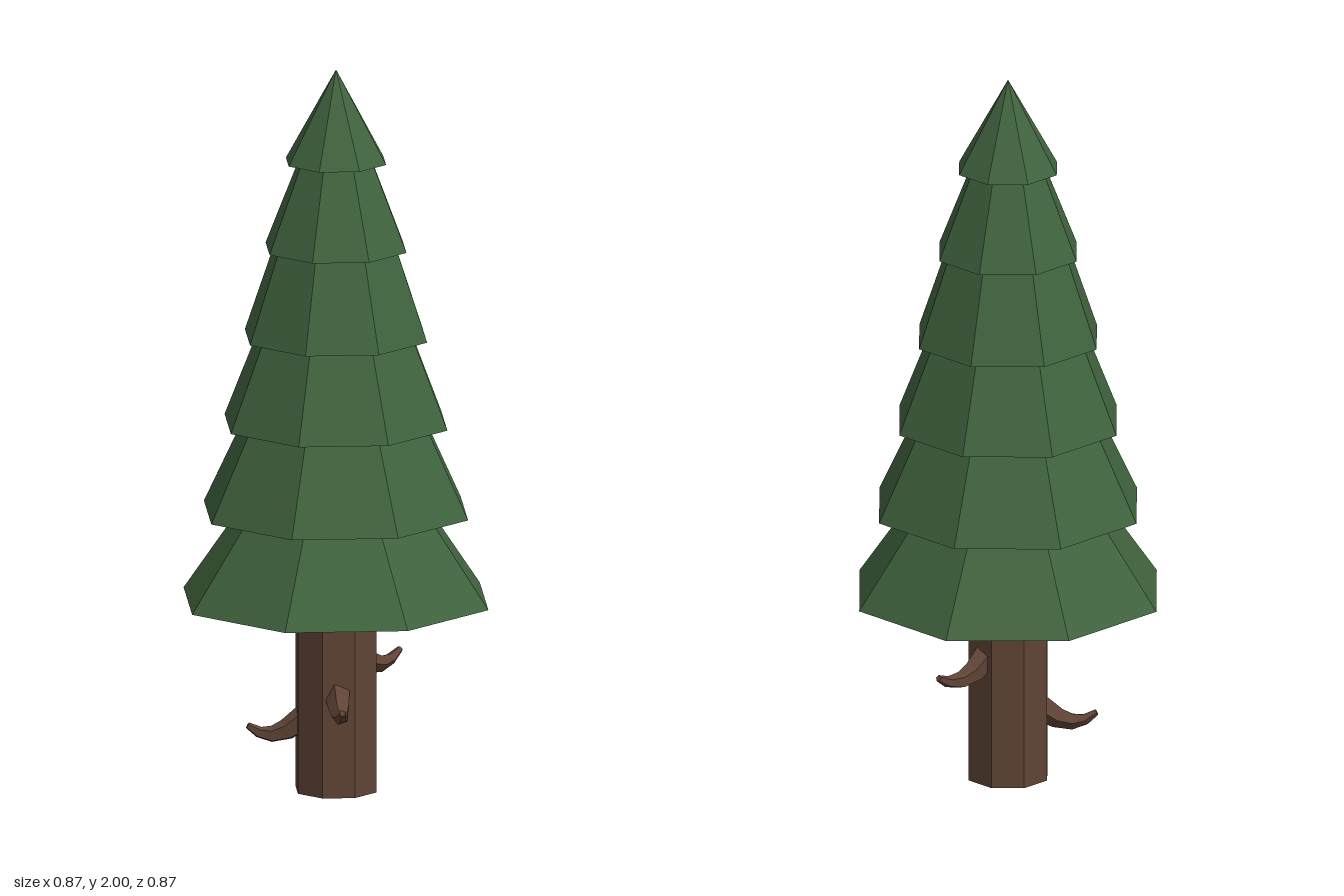
import * as THREE from 'three';

const SIDES = 8;

const bark = new THREE.MeshStandardMaterial({ color: 0x5f4435, flatShading: true });
const needles = new THREE.MeshStandardMaterial({ color: 0x40633e, flatShading: true });

function addMesh(parent, name, geometry, material) {
  const mesh = new THREE.Mesh(geometry, material);
  mesh.name = name;
  parent.add(mesh);
  return mesh;
}

// Broken branch: a tapered five-sided cylinder bent along a hooked curve that points to +x
function stubGeometry(reach) {
  const curve = new THREE.CatmullRomCurve3([
    new THREE.Vector3(0.085, 0.02, 0),
    new THREE.Vector3(0.15, -0.02, 0),
    new THREE.Vector3(0.7 * reach + 0.03, -0.022, 0),
    new THREE.Vector3(reach, 0.002, 0),
  ]);
  const geometry = new THREE.CylinderGeometry(1, 1, 1, 5, 4);
  const pos = geometry.attributes.position;
  for (let i = 0; i < pos.count; i++) {
    const t = THREE.MathUtils.clamp(pos.getY(i) + 0.5, 0, 1);
    const centre = curve.getPoint(t);
    const dir = curve.getTangent(t);
    const radius = THREE.MathUtils.lerp(0.038, 0.009, t);
    const across = pos.getX(i) * radius;
    pos.setXYZ(i, centre.x + dir.y * across, centre.y - dir.x * across, pos.getZ(i) * radius);
  }
  geometry.computeVertexNormals();
  return geometry;
}

export function createModel() {
  const tree = new THREE.Group();
  tree.name = 'pineTree';

  // Trunk
  const trunkHeight = 0.56;
  addMesh(tree, 'trunk', new THREE.CylinderGeometry(0.115, 0.115, trunkHeight, SIDES), bark)
    .position.y = trunkHeight / 2;

  // Branch stubs, each growing from the middle of a trunk face: [angle, height, reach]
  const stubs = [
    [22.5, 0.343, 0.265],
    [-112.5, 0.268, 0.254],
    [157.5, 0.18, 0.24],
  ];
  stubs.forEach(([angle, height, reach], i) => {
    const stub = addMesh(tree, `branchStub${i + 1}`, stubGeometry(reach), bark);
    stub.rotation.y = THREE.MathUtils.degToRad(angle);
    stub.position.y = height;
  });

  // Foliage tiers, bottom to top: [base height, base radius, top radius]
  const tiers = [
    [0.53, 0.435, 0.265],
    [0.775, 0.377, 0.26],
    [1.02, 0.318, 0.222],
    [1.26, 0.26, 0.175],
    [1.505, 0.201, 0.105],
    [1.745, 0.143, 0],
  ];
  tiers.forEach(([base, radius, topRadius], i) => {
    const top = i + 1 < tiers.length ? tiers[i + 1][0] : 2;
    const geometry = new THREE.CylinderGeometry(topRadius, radius, top - base, SIDES);
    addMesh(tree, `foliageTier${i + 1}`, geometry, needles).position.y = (base + top) / 2;
  });

  return tree;
}
